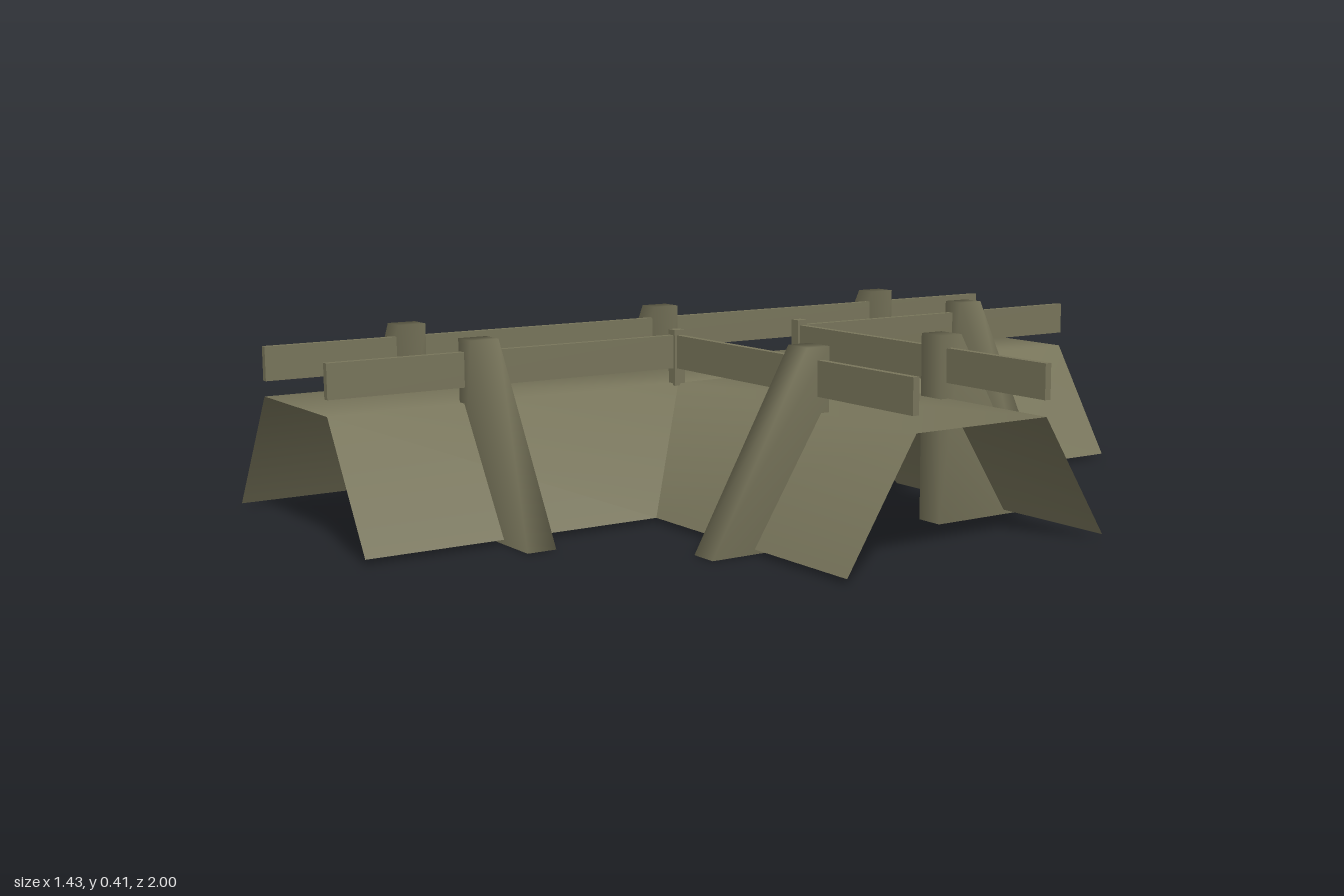
import * as THREE from 'three';

const AXIS = -0.285;              // centre line of the long embankment
const DECK = 0.27, FOOT = 0.01;   // sheet heights
const HALF = 0.168, SKIRT = 0.332; // half widths at deck and foot

// Smooth open sheet from rows of points (rows run along +z, columns along +x)
function sheet(rows, skip = () => false) {
  const cols = rows[0].length, index = [];
  for (let i = 0; i < rows.length - 1; i++) {
    for (let j = 0; j < cols - 1; j++) {
      if (skip(i, j)) continue;
      const a = i * cols + j, b = a + 1, c = a + cols, d = c + 1;
      index.push(a, c, b, b, c, d);
    }
  }
  const g = new THREE.BufferGeometry();
  g.setAttribute('position', new THREE.Float32BufferAttribute(rows.flat(2), 3));
  g.setIndex(index);
  g.computeVertexNormals();
  return g;
}

// Tapered buttress, inner face at x = 0, leaning foot towards +x, softly shaded
function buttressGeometry() {
  const w = 0.0325, p = [];
  for (const z of [w, -w]) p.push(0, 0, z, 0.285, 0, z, 0.055, 0.405, z, 0, 0.405, z);
  const g = new THREE.BufferGeometry();
  g.setAttribute('position', new THREE.Float32BufferAttribute(p, 3));
  const index = [];
  const quad = (a, b, c, d) => index.push(a, b, c, a, c, d);
  quad(0, 1, 2, 3);
  quad(5, 4, 7, 6);
  for (let i = 0; i < 4; i++) {
    const n = (i + 1) % 4;
    quad(i, i + 4, n + 4, n);
  }
  g.setIndex(index);
  g.computeVertexNormals();
  return g;
}

export function createModel() {
  const group = new THREE.Group();
  const olive = new THREE.MeshStandardMaterial({ color: 0x78755b });
  olive.name = 'olive';
  const oliveSheet = olive;
  oliveSheet.side = THREE.DoubleSide;

  const add = (name, geometry, x = 0, y = 0, z = 0, turn = 0) => {
    const m = new THREE.Mesh(geometry, olive);
    m.name = name;
    m.position.set(x, y, z);
    m.rotation.y = turn;
    group.add(m);
  };

  // Long embankment, its right slope mitred around the side opening
  const inner = AXIS + HALF, outer = AXIS + SKIRT;
  const trunkRow = (z, zFoot) => [
    [AXIS - SKIRT, FOOT, z], [AXIS - HALF, DECK, z], [inner, DECK, z], [outer, FOOT, zFoot],
  ];
  add('mainEmbankment', sheet(
    [trunkRow(-1, -1), trunkRow(-HALF, -SKIRT), trunkRow(HALF, SKIRT), trunkRow(1, 1)],
    (i, j) => i === 1 && j === 2));

  // Side branch meeting the long embankment
  const branchRow = (x, y, z) => [[x, y, z], [0.715, y, z]];
  add('branchEmbankment', sheet([
    branchRow(outer, FOOT, -SKIRT), branchRow(inner, DECK, -HALF),
    branchRow(inner, DECK, HALF), branchRow(outer, FOOT, SKIRT),
  ]));

  // Buttresses
  const buttress = buttressGeometry();
  for (const z of [-0.665, 0, 0.665]) add('leftButtress', buttress, -0.43, 0, z, Math.PI);
  for (const s of [-1, 1]) {
    add('rightButtress', buttress, -0.138, 0, s * 0.665);
    add('branchButtress', buttress, 0.382, 0, s * 0.148, -s * Math.PI / 2);
  }

  // Railings and the corner posts where they meet
  const railY = 0.341, railH = 0.074, t = 0.015;
  add('longRail', new THREE.BoxGeometry(t, railH, 2), -0.449, railY, 0);
  const shortRail = new THREE.BoxGeometry(t, railH, 1 - 0.17);
  const branchRail = new THREE.BoxGeometry(0.715 + 0.12, railH, t);
  const cornerPost = new THREE.BoxGeometry(0.026, 0.125, 0.026);
  for (const s of [-1, 1]) {
    add('shortRail', shortRail, -0.12, railY, s * 0.585);
    add('branchRail', branchRail, 0.2975, railY, s * 0.17);
    add('cornerPost', cornerPost, -0.12, 0.3275, s * 0.17);
  }
  return group;
}
